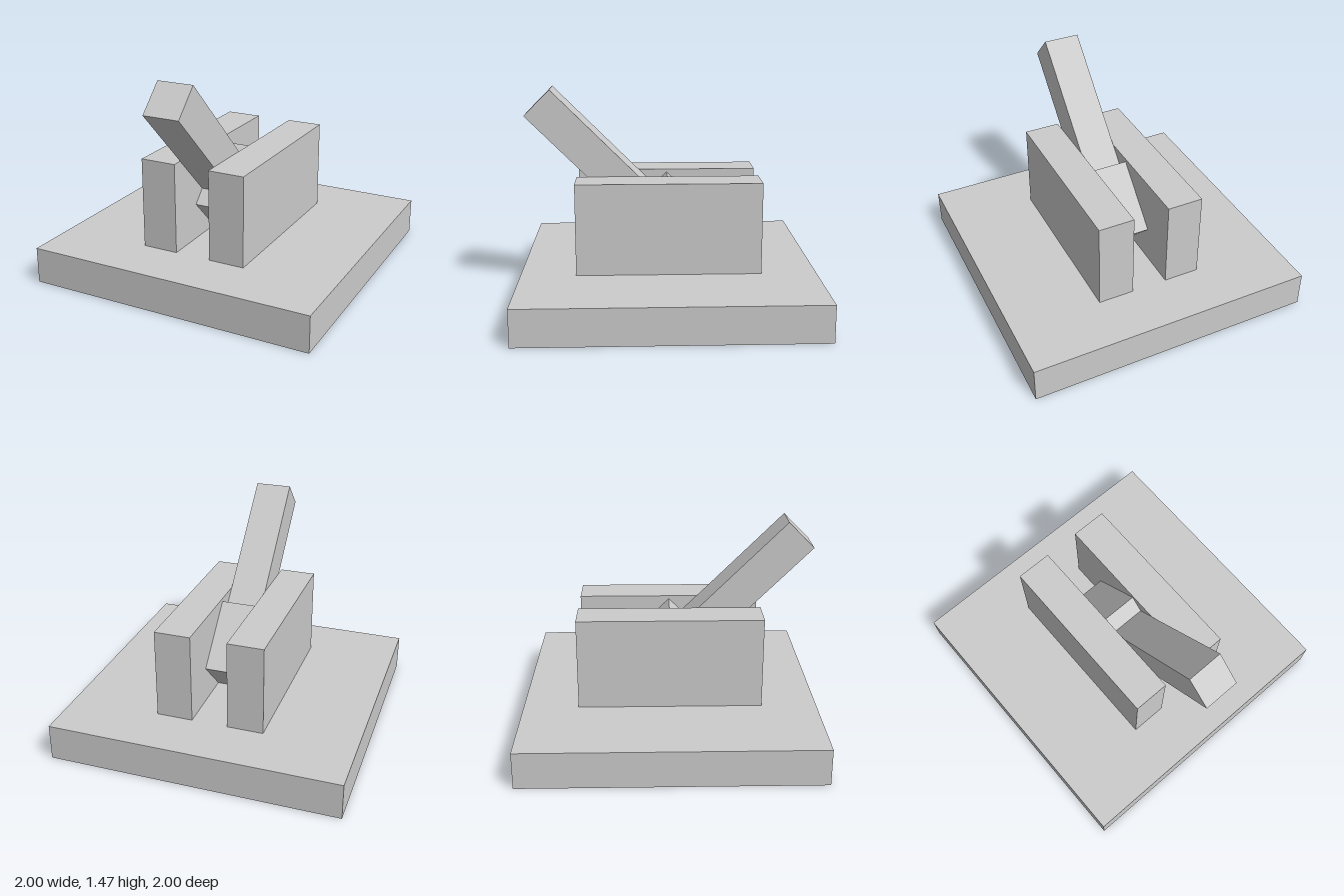
import * as THREE from 'three';

export function createModel() {
  const model = new THREE.Group();
  const material = new THREE.MeshStandardMaterial({ color: 0xcccccc, flatShading: true });

  const addBox = (parent, name, [w, h, d], [x, y, z]) => {
    const mesh = new THREE.Mesh(new THREE.BoxGeometry(w, h, d), material);
    mesh.name = name;
    mesh.position.set(x, y, z);
    parent.add(mesh);
    return mesh;
  };

  // Square base plate
  addBox(model, 'base', [2, 0.25, 2], [0, 0.125, 0]);

  // Side walls with a slot between them
  for (const [name, side] of [['leftWall', 1], ['rightWall', -1]]) {
    addBox(model, name, [0.25, 0.625, 1.25], [side * 0.25, 0.5625, 0]);
  }

  // Lever: square hub and handle, tilted towards the front
  const lever = new THREE.Group();
  lever.name = 'lever';
  lever.position.y = 0.5;
  lever.rotation.x = Math.PI / 4;
  addBox(lever, 'leverHub', [0.25, 0.5, 0.5], [0, 0, 0]);
  addBox(lever, 'leverHandle', [0.25, 1, 0.25], [0, 0.75, 0]);
  model.add(lever);

  return model;
}
